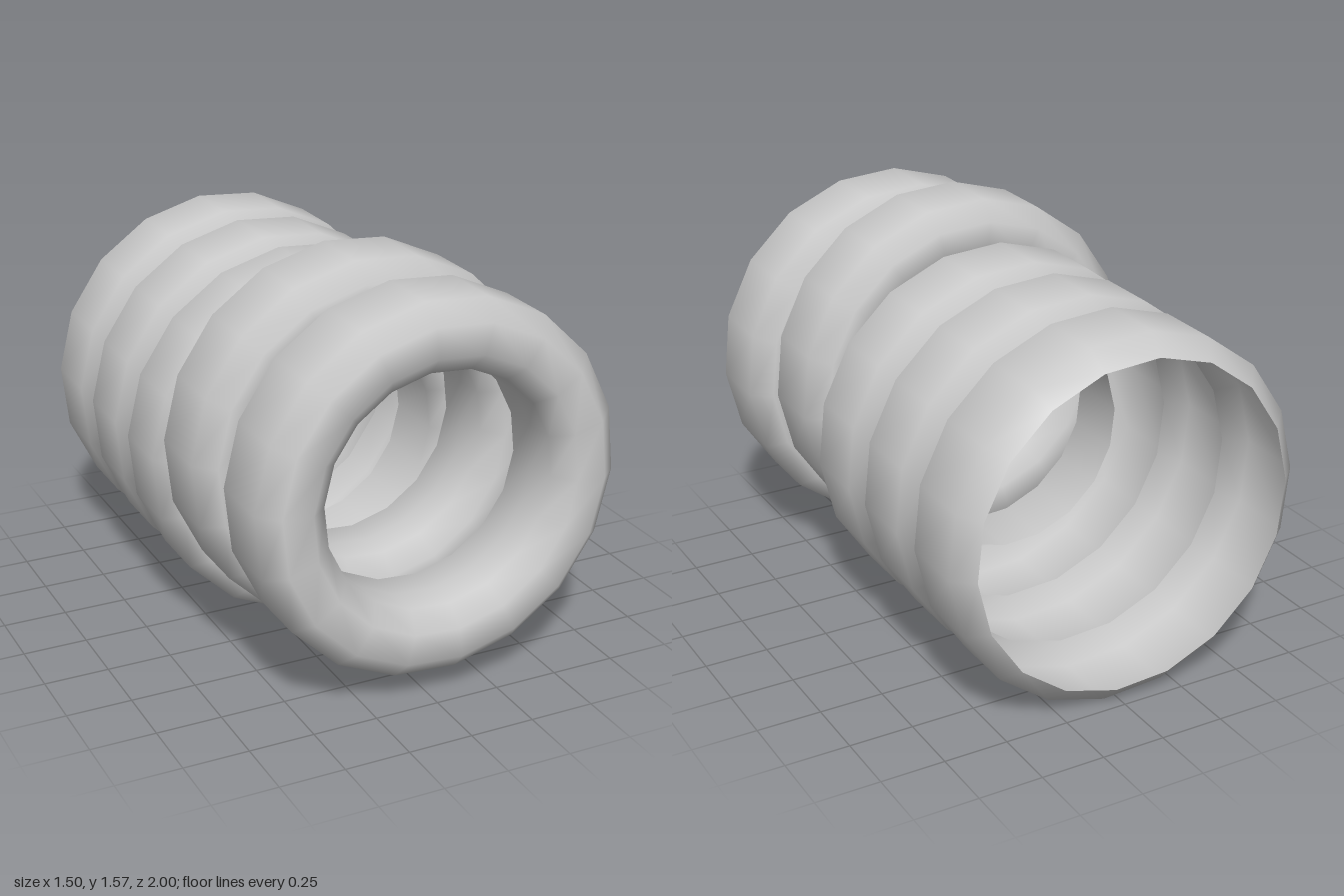
import * as THREE from 'three';

const SIDES = 18;
const TURN = THREE.MathUtils.degToRad(6.2);
const HALF = 0.2, FLAT = 0.13;                              // half width of a ring and of its flat band
const INNER = 0.457, INNER_SIDE = 0.53, OUTER_SIDE = 0.647, OUTER = 0.721;

export function createModel() {
  const group = new THREE.Group();
  const material = new THREE.MeshStandardMaterial({ color: 0xcccccc, side: THREE.DoubleSide });

  // Turns a (radius, z) profile around the z axis
  function addTurned(name, profile, x, y, z) {
    const points = profile.map(([r, h]) => new THREE.Vector2(r, h));
    const geometry = new THREE.LatheGeometry(points, SIDES, TURN, Math.PI * 2);
    geometry.rotateX(Math.PI / 2);
    const mesh = new THREE.Mesh(geometry, material);
    mesh.name = name;
    mesh.position.set(x, y, z);
    group.add(mesh);
  }

  // Two loose rings with a bevelled section, each shifted off the main axis
  const ring = [
    [INNER, 0], [INNER, -FLAT], [INNER_SIDE, -HALF], [OUTER_SIDE, -HALF],
    [OUTER, -FLAT], [OUTER, FLAT], [OUTER_SIDE, HALF], [INNER_SIDE, HALF],
    [INNER, FLAT], [INNER, 0],
  ];
  addTurned('frontRing', ring, 0.03, 0.813, 0.8);
  addTurned('secondRing', ring, -0.034, 0.853, 0.4);

  // Ribbed sleeve of three joined bands, open at the back, with a lip turned in at the front
  const sleeve = [[OUTER_SIDE, -1]];
  for (const z of [-0.8, -0.4, 0]) {
    sleeve.push([OUTER, z - FLAT], [OUTER, z + FLAT], [OUTER_SIDE, z + HALF]);
  }
  sleeve.push([INNER_SIDE, HALF], [INNER, FLAT], [INNER, -FLAT]);
  addTurned('ribbedSleeve', sleeve, -0.03, 0.717, 0);

  return group;
}
